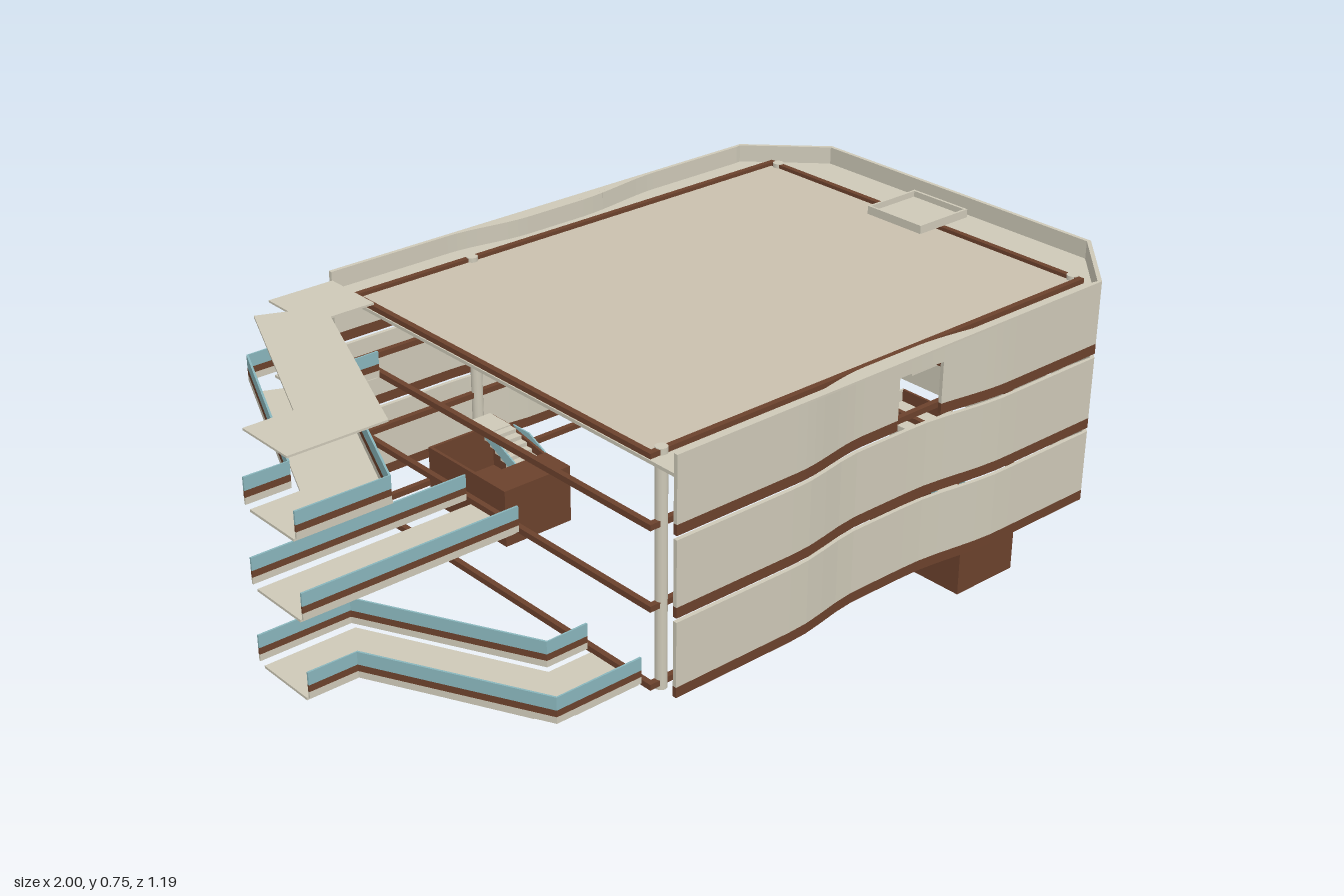
import * as THREE from 'three';

const mat = (name, color) => {
  const m = new THREE.MeshStandardMaterial({ color, side: THREE.DoubleSide });
  m.name = name;
  return m;
};

export function createModel() {
  const model = new THREE.Group();
  const stone = mat('stone', 0xcdc8b7);
  const deck = mat('deck', 0xc9c0ae);
  const brown = mat('brown', 0x6b412c);
  const teal = mat('teal glass', 0x89b5bb);

  const add = (name, geo, material, parent = model) => {
    const m = new THREE.Mesh(geo, material);
    m.name = name;
    parent.add(m);
    return m;
  };
  const group = (name) => {
    const g = new THREE.Group();
    g.name = name;
    model.add(g);
    return g;
  };
  const box = (name, x0, x1, y0, y1, z0, z1, material, parent) => {
    const g = new THREE.BoxGeometry(x1 - x0, y1 - y0, z1 - z0);
    g.translate((x0 + x1) / 2, (y0 + y1) / 2, (z0 + z1) / 2);
    return add(name, g, material, parent);
  };
  // Flat plate from a plan outline of [x, z] points, with an optional hole
  const plate = (name, pts, y0, y1, material, parent, hole) => {
    const plan = (p) => p.map(([x, z]) => new THREE.Vector2(x, -z));
    const s = new THREE.Shape(plan(pts));
    if (hole) s.holes.push(new THREE.Path(plan(hole)));
    const g = new THREE.ExtrudeGeometry(s, { depth: y1 - y0, bevelEnabled: false });
    g.rotateX(-Math.PI / 2).translate(0, y0, 0);
    return add(name, g, material, parent);
  };
  // Upright wall of thickness t along a plan polyline
  const wall = (name, pts, t, y0, y1, material, parent) => {
    const inner = pts.map(([x, z], i) => {
      const a = pts[Math.max(i - 1, 0)], b = pts[Math.min(i + 1, pts.length - 1)];
      const dx = b[0] - a[0], dz = b[1] - a[1], l = Math.hypot(dx, dz);
      return [x + (dz / l) * t, z - (dx / l) * t];
    });
    return plate(name, [...pts, ...inner.reverse()], y0, y1, material, parent);
  };
  // Stone ledge, brown kerb and glass rail stacked along a line
  const railing = (pts, y, parent) => {
    wall('ledge', pts, 0.005, y + 0.01, y + 0.026, stone, parent);
    wall('kerb', pts, 0.005, y + 0.026, y + 0.042, brown, parent);
    wall('glassRail', pts, 0.005, y + 0.042, y + 0.073, teal, parent);
  };

  // Long facade line, with a shallow wave inwards
  const facadeZ = (x) => 0.597 - 0.028 * (
    THREE.MathUtils.smoothstep(x, -0.12, 0.1) - THREE.MathUtils.smoothstep(x, 0.26, 0.53));
  const line = (x0, x1, n = 24) =>
    Array.from({ length: n + 1 }, (_, i) => x0 + ((x1 - x0) * i) / n).map((x) => [x, facadeZ(x)]);
  const corner = [1, 0.427];
  const flip = (pts) => pts.map(([x, z]) => [x, -z]);
  const H0 = 0.205, H1 = 0.335; // facade opening

  // Three storeys of facade bands
  for (let f = 0; f < 3; f++) {
    const y0 = 0.195 + f * 0.19, y1 = y0 + 0.18, yr = y0 + 0.025;
    const storey = group('storey' + (f + 1));
    for (const s of [1, -1]) {
      const side = s > 0 ? 'front' : 'back';
      const m = (pts) => (s > 0 ? pts : flip(pts));
      const t = 0.01 * s;
      const runs = f < 2 ? [[...line(-0.45, 0.83), corner]]
        : [line(-0.45, H0), [...line(H1, 0.83), corner]];
      for (const r of runs) {
        wall(side + 'Wall', m(r), t, yr, y1, stone, storey);
        wall(side + 'Sill', m(r), t, y0, yr, brown, storey);
      }
      if (f === 2) wall(side + 'Lintel', m(line(H0, H1, 4)), t, 0.7, y1, stone, storey);
    }
    box('endWall', 0.99, 1, y0, y1, -0.427, 0.427, stone, storey);
  }

  // Roof slab with a warmer deck inside the beams, and coping that straightens the wave
  const edge = line(-0.45, 0.83).map(([x, z]) => [x, z - 0.008]);
  const half = [...edge, [0.992, 0.42]];
  plate('roofSlab', [...half, ...flip(half).reverse()], 0.703, 0.711, stone);
  box('roofDeck', -0.44, 0.866, 0.711, 0.714, -0.513, 0.507, deck);
  for (const s of [1, -1]) {
    const c = [...line(-0.12, 0.53), [0.53, 0.597], [-0.12, 0.597]];
    plate('coping', s > 0 ? c : flip(c), 0.75, 0.755, stone);
  }

  // Beam frame at every level, with tray-like vent boxes at the end wall
  [0.177, 0.366, 0.556, 0.716].forEach((y, i) => {
    const frame = group('beamFrame' + (i + 1));
    const h = 0.007;
    for (const z of [-0.513, 0.507]) box('longBeam', -0.447, 0.873, y - h, y + h, z - h, z + h, brown, frame);
    for (const x of [-0.44, 0.866]) box('crossBeam', x - h, x + h, y - h, y + h, -0.513, 0.507, brown, frame);
    const b0 = i === 3 ? y + 0.008 : y - 0.02, b1 = i === 3 ? 0.745 : y + 0.018;
    box('ventFloor', 0.785, 0.95, b0, b0 + 0.006, -0.09, 0.085, stone, frame);
    for (const z of [-0.09, 0.079]) box('ventSide', 0.785, 0.95, b0, b1, z, z + 0.006, stone, frame);
    box('ventInnerEnd', 0.785, 0.791, b0, b1, -0.09, 0.085, stone, frame);
    box('ventOuterEnd', 0.944, 0.951, b0, b1, -0.09, 0.085, i < 3 ? brown : stone, frame);
  });

  // Slim columns
  for (const [x, z] of [[-0.41, 0.505], [-0.11, -0.51], [0.867, -0.49], [0.867, 0.485]]) {
    const g = new THREE.CylinderGeometry(0.014, 0.014, 0.565, 12);
    g.translate(x, 0.4425, z);
    add('column', g, stone);
  }

  // Walkways, one per storey, branching to the front, straight in, and to the back
  const toBack = {
    floor: [[-1, -0.085], [-0.88, -0.085], [-0.69, -0.535], [-0.62, -0.505], [-0.62, -0.585],
      [-0.45, -0.585], [-0.45, -0.42], [-0.565, -0.42], [-0.76, 0.075], [-1, 0.075]],
    rails: [[[-1, -0.1], [-0.89, -0.1], [-0.68, -0.591], [-0.45, -0.591]],
      [[-1, 0.087], [-0.77, 0.087], [-0.56, -0.415], [-0.45, -0.415]]],
  };
  const straight = {
    floor: [[-1, -0.085], [-0.45, -0.085], [-0.45, 0.075], [-1, 0.075]],
    rails: [[[-1, -0.1], [-0.45, -0.1]], [[-1, 0.087], [-0.45, 0.087]]],
  };
  const toFront = {
    floor: [[-1, -0.085], [-0.77, -0.085], [-0.565, 0.325], [-0.45, 0.325], [-0.45, 0.48],
      [-0.62, 0.48], [-0.62, 0.4], [-0.69, 0.435], [-0.87, 0.075], [-1, 0.075]],
    rails: [[[-1, 0.087], [-0.88, 0.087], [-0.675, 0.49], [-0.45, 0.49]],
      [[-1, -0.1], [-0.77, -0.1], [-0.56, 0.315], [-0.45, 0.315]]],
  };
  [toFront, straight, toBack].forEach((path, f) => {
    const y = 0.168 + f * 0.188;
    const walkway = group('walkway' + (f + 1));
    plate('walkwayFloor', path.floor, y, y + 0.006, stone, walkway);
    for (const r of path.rails) railing(r, y, walkway);
  });
  plate('walkwayCanopy', toBack.floor, 0.73, 0.735, stone);

  // Stair pods: an open-bottomed brown housing with a short glass-sided flight
  const stairPod = (name, x, y, z) => {
    const pod = group(name);
    const extrude = (pts, w, x0) => new THREE.ExtrudeGeometry(
      new THREE.Shape(pts.map(([a, b]) => new THREE.Vector2(-a, b))), { depth: w, bevelEnabled: false })
      .rotateY(Math.PI / 2).translate(x0, 0, 0);
    const cheek = (top) => [[0.49, 0], [0.49, 0.143], [0.4, 0.143], [0.28, top], [0.2, top], [0.2, 0]];
    add('outerCheek', extrude(cheek(0.166), 0.008, 0.182), brown, pod);
    add('innerCheek', extrude(cheek(0.143), 0.008, 0), brown, pod);
    box('podFront', 0, 0.19, 0, 0.143, 0.482, 0.49, brown, pod);
    box('podBack', 0, 0.19, 0, 0.143, 0.2, 0.208, brown, pod);
    box('podTop', 0, 0.19, 0.137, 0.143, 0.4, 0.49, brown, pod);
    box('podFloor', 0, 0.19, 0.03, 0.036, 0.2, 0.49, brown, pod);
    const glass = [[0.4, 0.112], [0.4, 0.143], [0.34, 0.17], [0.28, 0.17]];
    for (const gx of [0.1, 0.188]) add('flightGlass', extrude(glass, 0.004, gx), teal, pod);
    for (let i = 0; i < 6; i++) {
      const sz = 0.4 - i * 0.02, sy = 0.115 + i * 0.01;
      box('step', 0.104, 0.182, sy - 0.008, sy + 0.004, sz - 0.02, sz, stone, pod);
    }
    box('landing', 0.104, 0.182, 0.166, 0.172, 0.2, 0.28, stone, pod);
    pod.position.set(x, y, z);
  };
  stairPod('entryStair', 0.535, 0, 0);
  stairPod('innerStair', -0.33, 0.192, -0.61);

  // Inner eight-sided gallery around an open well, railed on both edges
  const gallery = group('gallery');
  const ring = (k) => Array.from({ length: 9 }, (_, i) => {
    const a = ((i + 0.5) * Math.PI) / 4;
    return [0.35 + 0.31 * k * Math.cos(a), 0.29 * k * Math.sin(a)];
  });
  plate('galleryFloor', ring(1).slice(1), 0.376, 0.382, stone, gallery, ring(0.84).slice(1));
  for (const r of [ring(1), ring(0.84)]) {
    for (let i = 0; i < 8; i++) railing([r[i], r[i + 1]], 0.37, gallery);
  }
  return model;
}
